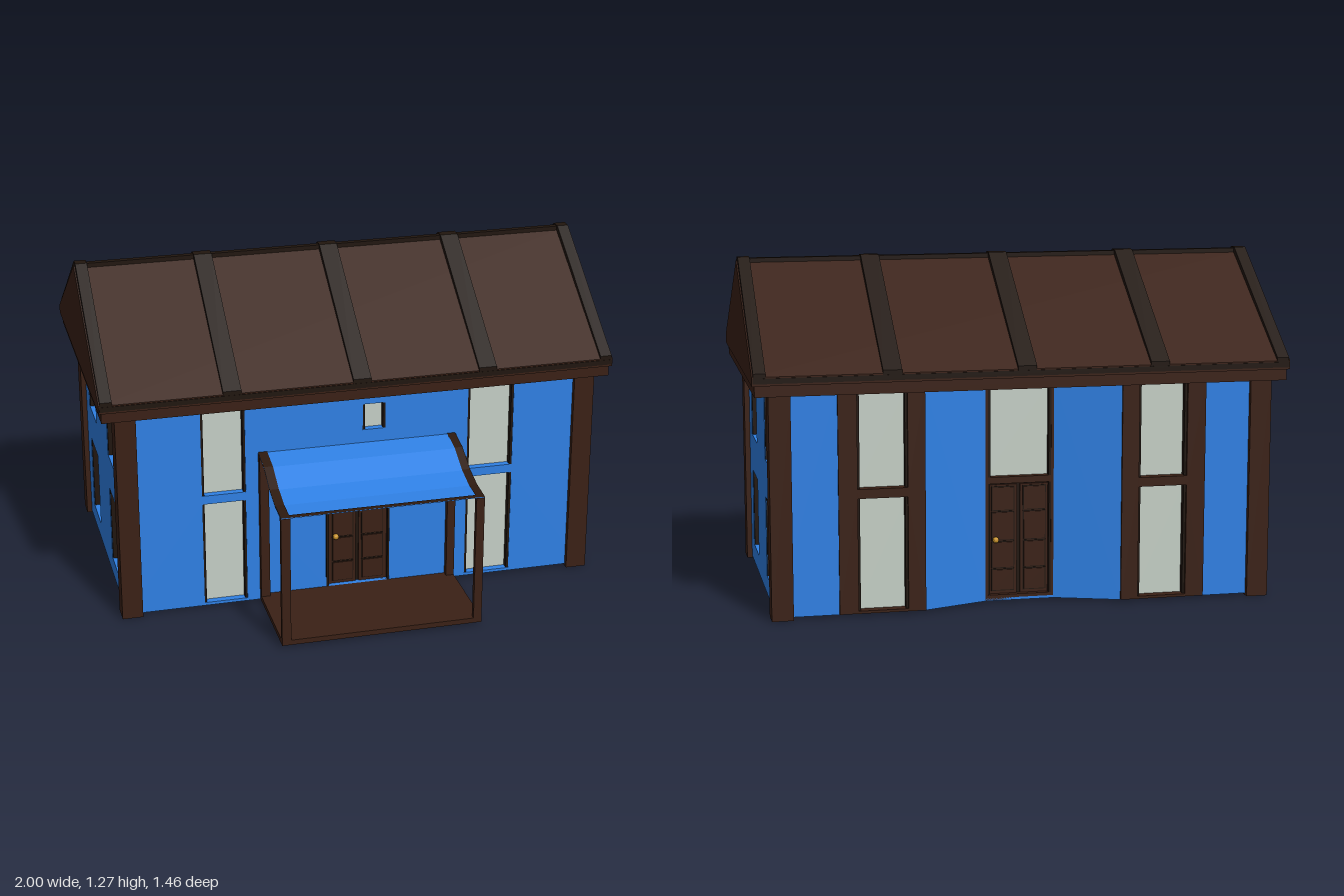
import * as THREE from 'three';

const mat = (color, side = THREE.FrontSide) => new THREE.MeshStandardMaterial({ color, side, flatShading: true });
const BLUE = mat(0x2f80e4), BROWN = mat(0x3a2015), DARK = mat(0x20150e), GLASS = mat(0xc5cfc6), GOLD = mat(0xc8922a);
const CLOTH = mat(0x2f80e4, THREE.DoubleSide), STRIP = mat(0x2c190f, THREE.DoubleSide);
const T = 0.03; // wall thickness

function add(parent, name, geo, material) {
  const m = new THREE.Mesh(geo, material);
  m.name = name;
  parent.add(m);
  return m;
}

// Box given by its limits on each axis
function box(parent, name, [x0, x1], [y0, y1], [z0, z1], material) {
  const m = add(parent, name, new THREE.BoxGeometry(x1 - x0, y1 - y0, z1 - z0), material);
  m.position.set((x0 + x1) / 2, (y0 + y1) / 2, (z0 + z1) / 2);
  return m;
}

const poly = pts => new THREE.Shape(pts.map(p => new THREE.Vector2(...p)));
const extrude = (shape, depth) => new THREE.ExtrudeGeometry(shape, { depth, bevelEnabled: false });

// Upright wall piece with openings [u0, u1, y0, y1]
function wall(parent, name, u0, u1, holes, material) {
  const s = poly([[u0, 0.01], [u1, 0.01], [u1, 0.85], [u0, 0.85]]);
  for (const [a, b, c, d] of holes) s.holes.push(poly([[a, c], [a, d], [b, d], [b, c]]));
  return add(parent, name, extrude(s, T), material);
}

// Recessed pane with dark side trims
function pane(parent, [a, b, c, d]) {
  box(parent, 'windowPane', [a, b], [c, d], [-0.01, 0.002], GLASS);
  box(parent, 'windowTrim', [a, a + 0.009], [c, d], [0, T - 0.002], DARK);
  box(parent, 'windowTrim', [b - 0.009, b], [c, d], [0, T - 0.002], DARK);
}

// Double door with four raised panels on each leaf
function door(parent, hw) {
  const g = new THREE.Group();
  g.name = 'door';
  parent.add(g);
  box(g, 'doorBack', [-hw, hw], [0.03, 0.455], [-0.01, 0.004], DARK);
  for (const s of [-1, 1]) {
    const leaf = [s * 0.062 - 0.056, s * 0.062 + 0.056];
    box(g, 'doorLeaf', leaf, [0.03, 0.448], [0, 0.01], BROWN);
    for (const [y0, y1] of [[0.045, 0.122], [0.132, 0.228], [0.238, 0.342], [0.352, 0.438]]) {
      const c = s * 0.06;
      box(g, 'panelGroove', [c - 0.044, c + 0.044], [y0 - 0.004, y1 + 0.004], [0.005, 0.012], DARK);
      box(g, 'doorPanel', [c - 0.04, c + 0.04], [y0, y1], [0.005, 0.016], BROWN);
    }
    box(g, 'doorJamb', s > 0 ? [hw - 0.01, hw] : [-hw, -hw + 0.01], [0.03, 0.455], [0, T - 0.002], DARK);
  }
  const knob = add(g, 'doorKnob', new THREE.SphereGeometry(0.012, 12, 8), GOLD);
  knob.position.set(-0.09, 0.24, 0.026);
}

function side(parent, name, x, z, angle) {
  const g = new THREE.Group();
  g.name = name;
  g.position.set(x, 0, z);
  g.rotation.y = angle;
  parent.add(g);
  return g;
}

// Profile of [z, y] points swept along x
function alongX(parent, name, pts, x0, x1, material) {
  const m = add(parent, name, extrude(poly(pts.map(([z, y]) => [-z, y])), x1 - x0), material);
  m.rotation.y = Math.PI / 2;
  m.position.x = x0;
}

// Plan of [x, z] points raised from y0 to y1
function upright(parent, name, pts, y0, y1, material) {
  const m = add(parent, name, extrude(poly(pts.map(([x, z]) => [x, -z])), y1 - y0), material);
  m.rotation.x = -Math.PI / 2;
  m.position.y = y0;
}

// Thin sheet following a [z, y] profile
function sheet(parent, name, pts, x0, x1, lift, material) {
  const geo = new THREE.PlaneGeometry(1, 1, 1, pts.length - 1), p = geo.attributes.position;
  for (let i = 0; i < p.count; i++) {
    const [z, y] = pts[Math.floor(i / 2)];
    p.setXYZ(i, i % 2 ? x1 : x0, y + lift, z);
  }
  geo.computeVertexNormals();
  add(parent, name, geo, material);
}

export function createModel() {
  const house = new THREE.Group();
  house.name = 'house';

  // Front wall
  const front = side(house, 'frontWall', 0, 0.34 - T, 0);
  const frontWindows = [[0.015, 0.105, 0.685, 0.79]];
  for (const [a, b] of [[-0.615, -0.445], [0.435, 0.62]]) frontWindows.push([a, b, 0.02, 0.44], [a, b, 0.475, 0.83]);
  wall(front, 'wall', -0.92, 0.92, [...frontWindows, [-0.13, 0.125, 0.03, 0.455]], BLUE);
  frontWindows.forEach(w => pane(front, w));
  door(front, 0.128);

  // End walls, windows given in z
  for (const s of [-1, 1]) {
    const g = side(house, 'endWall', s * (0.92 - T), 0, s * Math.PI / 2);
    const holes = [];
    for (const [a, b] of [[-0.015, 0.18], [-0.525, -0.335]]) {
      const u = s > 0 ? [-b, -a] : [a, b];
      holes.push([...u, 0.08, 0.385], [...u, 0.53, 0.83]);
    }
    wall(g, 'wall', s > 0 ? -0.34 : -0.68, s > 0 ? 0.68 : 0.34, holes, BLUE);
    holes.forEach(w => pane(g, w));
  }

  // Back wall: outer panels, window bays and slanted walls to a recessed centre
  const back = side(house, 'backWall', 0, -0.68 + T, Math.PI);
  for (const s of [-1, 1]) {
    const span = (a, b) => s > 0 ? [a, b] : [-b, -a];
    wall(back, 'outerPanel', ...span(0.69, 0.92), [], BLUE);
    const w = span(0.435, 0.62);
    const holes = [[...w, 0.02, 0.44], [...w, 0.475, 0.83]];
    wall(back, 'windowBay', ...span(0.37, 0.69), holes, BROWN).scale.z = 1.3;
    holes.forEach(h => pane(back, h));
    upright(house, 'slantedWall', [[s * 0.37, -0.68], [s * 0.13, -0.6], [s * 0.13, -0.57], [s * 0.37, -0.65]], 0.01, 0.85, BLUE);
  }
  const centre = side(house, 'backEntrance', 0, -0.6 + T, Math.PI);
  const upper = [-0.12, 0.12, 0.48, 0.83];
  wall(centre, 'entranceFrame', -0.13, 0.13, [[-0.12, 0.12, 0.03, 0.455], upper], BROWN);
  pane(centre, upper);
  door(centre, 0.122);

  // Ground slab
  upright(house, 'groundSlab', [[-0.92, 0.34], [0.92, 0.34], [0.92, -0.68], [0.37, -0.68], [0.13, -0.6],
    [-0.13, -0.6], [-0.37, -0.68], [-0.92, -0.68]], 0.008, 0.018, BLUE);

  // Corner posts
  for (const x of [[-0.94, -0.86], [0.86, 0.94]])
    for (const z of [[0.28, 0.36], [-0.7, -0.62]]) box(house, 'cornerPost', x, [0, 0.84], z, BROWN);

  // Eaves, roof and raised rafters
  box(house, 'eaves', [-0.99, 0.99], [0.83, 0.876], [-0.72, 0.38], BROWN);
  alongX(house, 'roof', [[0.39, 0.872], [0.39, 0.905], [-0.17, 1.262], [-0.73, 0.905], [-0.73, 0.872]], -1, 1, BROWN);
  for (const [a, b] of [[-0.995, -0.95], [-0.535, -0.465], [-0.035, 0.035], [0.46, 0.53], [0.95, 0.995]])
    alongX(house, 'rafter', [[0.392, 0.88], [0.392, 0.917], [-0.15, 1.275], [-0.19, 1.275], [-0.732, 0.917], [-0.732, 0.88]], a, b, DARK);
  box(house, 'ridgeBeam', [-0.99, 0.99], [1.25, 1.271], [-0.182, -0.158], DARK);
  for (const z of [[0.385, 0.393], [-0.733, -0.725]]) box(house, 'eaveStrip', [-0.997, 0.997], [0.88, 0.9], z, DARK);

  // Porch: floor, posts and curved canopy with edge strips
  const porch = new THREE.Group();
  porch.name = 'porch';
  house.add(porch);
  box(porch, 'porchFloor', [-0.395, 0.385], [0.01, 0.03], [0.33, 0.73], BROWN);
  const curve = [[0.34, 0.632], [0.44, 0.614], [0.54, 0.565], [0.63, 0.542], [0.73, 0.535]];
  sheet(porch, 'canopy', curve, -0.395, 0.385, 0, CLOTH);
  for (const x of [[-0.395, -0.36], [0.353, 0.385]]) {
    box(porch, 'porchPost', x, [0.01, 0.534], [0.71, 0.73], BROWN);
    box(porch, 'wallPost', x, [0.01, 0.63], [0.335, 0.365], BROWN);
    sheet(porch, 'canopyEdge', curve, ...x, 0.003, STRIP);
    sheet(porch, 'canopyEdgeUnderside', curve, ...x, -0.003, STRIP);
  }
  sheet(porch, 'canopyFrontEdge', [[0.71, 0.5365], [0.73, 0.535]], -0.395, 0.385, 0.003, STRIP);

  return house;
}
